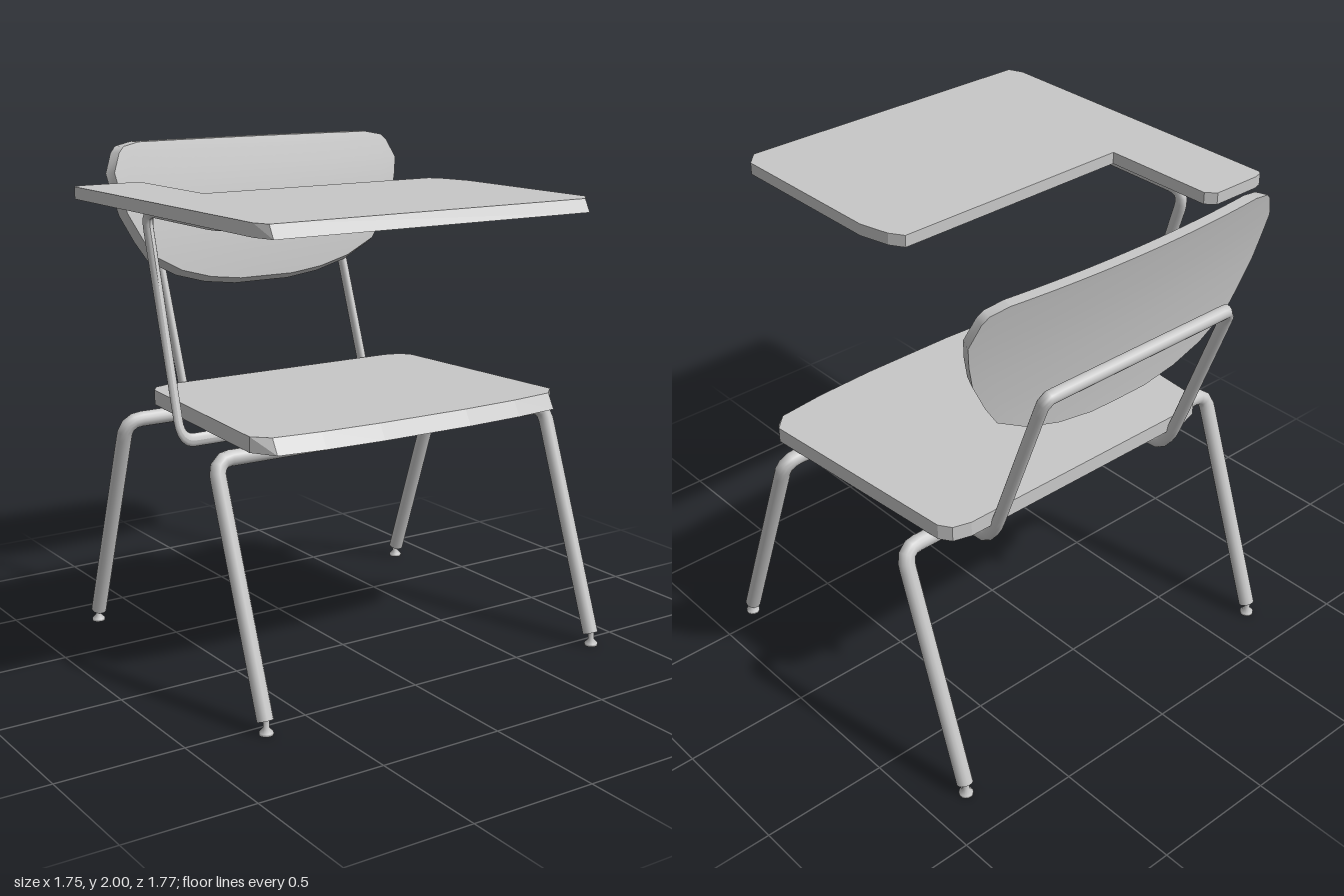
import * as THREE from 'three';
import { mergeGeometries } from 'three/addons/utils/BufferGeometryUtils.js';

const grey = new THREE.MeshStandardMaterial({ color: 0xc8c8c8 });
grey.name = 'grey';

const mesh = (name, geometry) => {
  const m = new THREE.Mesh(geometry, grey);
  m.name = name;
  return m;
};

// Move every vertex by a rule
function warp(geometry, rule) {
  const p = geometry.attributes.position;
  const v = new THREE.Vector3();
  for (let i = 0; i < p.count; i++) {
    rule(v.fromBufferAttribute(p, i));
    p.setXYZ(i, v.x, v.y, v.z);
  }
  geometry.computeVertexNormals();
  return geometry;
}

// Capped bent tube with rounded corners; flat < 1 narrows its section along x
function bentTube(points, radius, bend, flat = 1) {
  const pts = points.map(([x, y, z]) => new THREE.Vector3(x / flat, y, z));
  const path = new THREE.CurvePath();
  let from = pts[0];
  for (let i = 1; i < pts.length - 1; i++) {
    const c = pts[i];
    const a = c.clone().add(pts[i - 1].clone().sub(c).setLength(bend));
    const b = c.clone().add(pts[i + 1].clone().sub(c).setLength(bend));
    path.add(new THREE.LineCurve3(from, a));
    path.add(new THREE.QuadraticBezierCurve3(a, c, b));
    from = b;
  }
  const end = pts[pts.length - 1];
  path.add(new THREE.LineCurve3(from, end));
  const caps = [[pts[0], pts[1]], [end, pts[pts.length - 2]]].map(([p, inner]) => {
    const cap = new THREE.CircleGeometry(radius, 14);
    const out = p.clone().sub(inner).normalize();
    cap.applyQuaternion(new THREE.Quaternion().setFromUnitVectors(new THREE.Vector3(0, 0, 1), out));
    return cap.translate(p.x, p.y, p.z);
  });
  const tube = new THREE.TubeGeometry(path, 110, radius, 14, false);
  return mergeGeometries([tube, ...caps]).scale(flat, 1, 1);
}

// Flat board from an x/z outline; its front face slopes out toward the bottom
function board(outline, bottom, top, slopeFrom, slope) {
  const shape = new THREE.Shape(outline.map(([x, z]) => new THREE.Vector2(x, -z)));
  const g = new THREE.ExtrudeGeometry(shape, { depth: top - bottom, bevelEnabled: false });
  g.rotateX(-Math.PI / 2).translate(0, bottom, 0);
  const mid = (bottom + top) / 2;
  return warp(g, v => { if (v.y > mid && v.z > slopeFrom) v.z -= slope; });
}

// Curved backrest: a box shaped by half widths at each height
function backrestGeometry() {
  const rows = [[1.39, 0.13], [1.41, 0.28], [1.45, 0.42], [1.52, 0.55], [1.6, 0.605],
    [1.71, 0.665], [1.8, 0.69], [1.88, 0.705], [1.96, 0.67], [1.985, 0.645], [2, 0.57]];
  const n = rows.length - 1;
  return warp(new THREE.BoxGeometry(2, n, 1, 20, n, 1), v => {
    const [y, half] = rows[Math.round(v.y + n / 2)];
    const front = v.z > 0;
    const x = v.x * half * (front ? 0.975 : 1);
    const t = 2 - y;
    const u = x / 0.7;
    v.set(0.095 + x, 2 - t * (front ? 0.955 : 1),
      -0.825 + 0.25 * t - 0.15 * t * t + 0.045 * u * u - (front ? 0 : 0.047));
  });
}

export function createModel() {
  const model = new THREE.Group();
  model.name = 'tabletChair';
  const legX = [-0.705, 0.84];

  // Two inverted U leg frames with small glide feet
  const footProfile = [[0, 0], [0.027, 0], [0.027, 0.01], [0.012, 0.026], [0.012, 0.07]]
    .map(([r, y]) => new THREE.Vector2(r, y));
  for (const [name, footZ, topZ] of [['front', 0.557, 0.225], ['rear', -0.805, -0.485]]) {
    const [a, b] = legX;
    model.add(mesh(name + 'LegFrame', bentTube(
      [[a, 0.05, footZ], [a, 0.937, topZ], [b, 0.937, topZ], [b, 0.05, footZ]], 0.031, 0.065)));
    for (const x of legX) {
      const foot = mesh(name + 'Foot', new THREE.LatheGeometry(footProfile, 14));
      foot.position.set(x, 0, footZ + Math.sign(footZ) * 0.006);
      model.add(foot);
    }
  }

  // Continuous rod running under the seat and up behind the backrest
  const [rodA, rodB] = [-0.365, 0.53];
  const side = x => [[x, 0.94, 0.22], [x, 0.88, -0.56], [x, 0.96, -0.625], [x, 1.61, -0.86]];
  model.add(mesh('backSupport',
    bentTube([...side(rodA), ...side(rodB).reverse()], 0.026, 0.045, 0.66)));

  // Desk arm: rises beside the seat, runs forward, then turns under the desk
  const arm = bentTube([[-0.36, 0.93, -0.1], [-0.667, 0.93, -0.1], [-0.667, 1.785, -0.345],
    [-0.667, 1.785, 0.21], [-0.21, 1.785, 0.21]], 0.026, 0.08, 0.7);
  model.add(mesh('deskArm', warp(arm, v => {
    if (v.y > 1.66) return;
    const t = Math.max(0, (v.y - 0.93) / 0.73);
    const axis = -0.1 - 0.2092 * t;
    v.z = axis + (v.z - axis) * (0.5 + 0.5 * t);
  })));

  // Seat outline, mirrored about its own middle
  const half = [[0.54, -0.615], [0.61, -0.595], [0.64, -0.55], [0.705, 0.31], [0.645, 0.405],
    [0.45, 0.428], [0.2, 0.44]];
  const seat = [...half.map(([x, z]) => [0.095 + x, z]),
    ...half.map(([x, z]) => [0.095 - x, z]).reverse()];
  model.add(mesh('seat', board(seat, 0.97, 1.03, 0.35, 0.035)));

  // L-shaped writing desk with an arm rest strip
  const desk = [[-0.875, -0.52], [-0.865, -0.535], [-0.83, -0.545], [-0.62, -0.545],
    [-0.585, -0.51], [-0.585, -0.04], [0.45, -0.055], [0.485, 0], [0.515, 0.12],
    [0.515, 0.8], [0.46, 0.885], [-0.85, 0.885], [-0.875, 0.8]];
  model.add(mesh('writingDesk', board(desk, 1.82, 1.867, 0.85, 0.026)));

  model.add(mesh('backrest', backrestGeometry()));
  return model;
}
